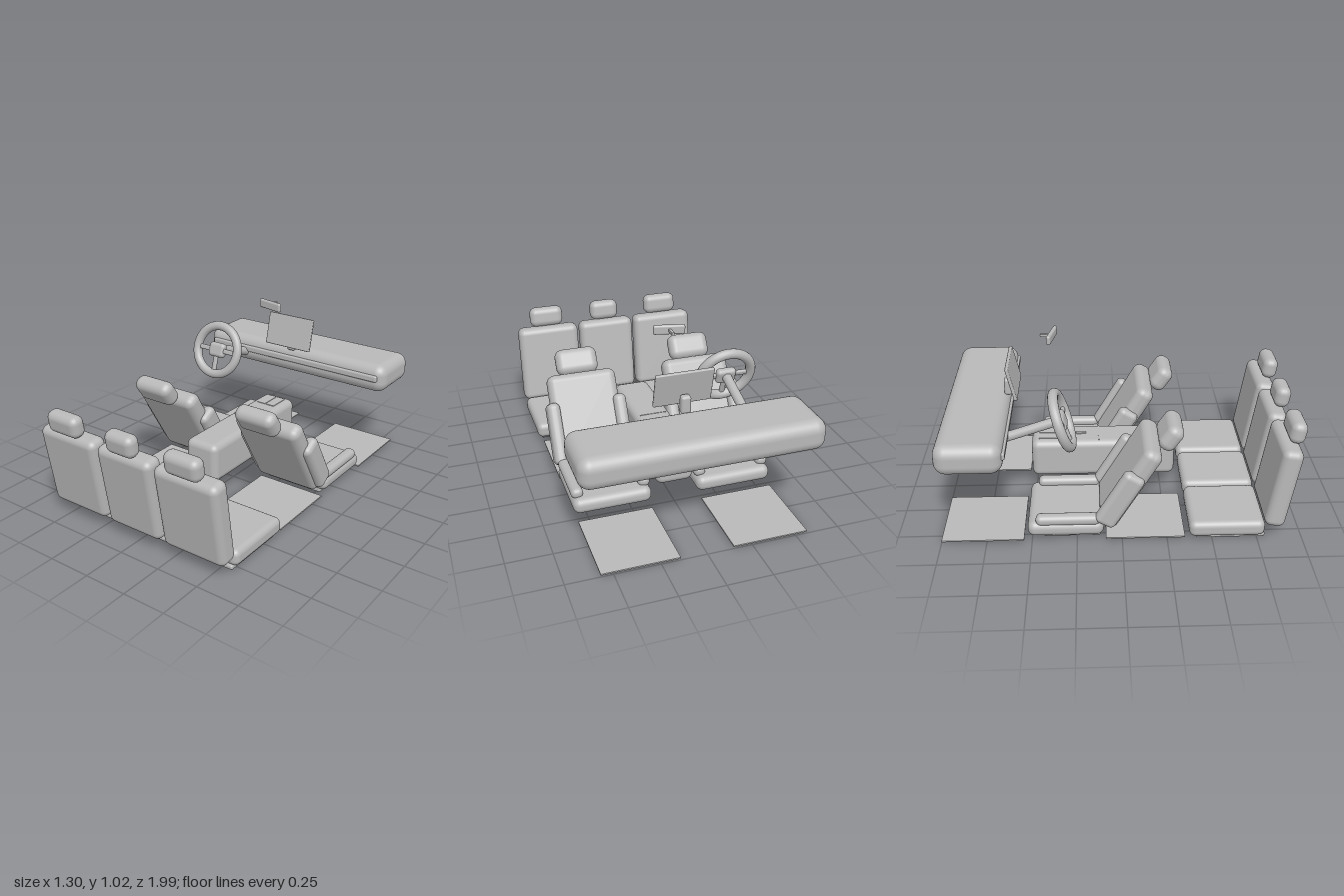
import * as THREE from 'three';
import { RoundedBoxGeometry } from 'three/addons/geometries/RoundedBoxGeometry.js';

export function createModel() {
  const grey = new THREE.MeshStandardMaterial({ color: 0xb8b8b8 });
  grey.name = 'light grey';
  const model = new THREE.Group();
  model.name = 'carInterior';

  const add = (parent, name, geometry, x, y, z, rx = 0) => {
    const mesh = new THREE.Mesh(geometry, grey);
    mesh.name = name;
    mesh.position.set(x, y, z);
    mesh.rotation.x = rx;
    parent.add(mesh);
    return mesh;
  };
  const pad = (w, h, d, r) => new RoundedBoxGeometry(w, h, d, 4, r);
  const box = (w, h, d) => new THREE.BoxGeometry(w, h, d);
  const group = (name, x, y, z, rx = 0) => {
    const g = new THREE.Group();
    g.name = name;
    g.position.set(x, y, z);
    g.rotation.x = rx;
    model.add(g);
    return g;
  };

  // Dashboard with its trim strip
  add(model, 'dashboard', pad(1.3, 0.175, 0.36, 0.065), 0, 0.567, -0.805);
  add(model, 'dashboardTrim', pad(1.215, 0.042, 0.03, 0.012), 0, 0.577, -0.627);

  // Centre screen on a short stand
  add(model, 'screen', pad(0.318, 0.2, 0.02, 0.006), 0, 0.765, -0.603, -0.22);
  add(model, 'screenStand', pad(0.055, 0.1, 0.045, 0.015), 0, 0.685, -0.635);

  // Rear-view mirror
  const mirror = group('mirror', 0, 0.994, -0.375);
  add(mirror, 'mirrorHousing', pad(0.17, 0.052, 0.025, 0.011), 0, 0, 0).rotation.y = -0.22;
  add(mirror, 'mirrorStem', box(0.015, 0.015, 0.06), 0, 0, -0.035);

  // Centre console, armrest seam and shallow tray details
  add(model, 'console', pad(0.215, 0.235, 0.84, 0.04), 0, 0.243, -0.095);
  add(model, 'armrestSeam', box(0.16, 0.006, 0.006), 0, 0.36, -0.12);
  for (const x of [-0.032, 0.032]) {
    add(model, 'consoleTray', box(0.055, 0.008, 0.13), x, 0.36, -0.405);
  }
  add(model, 'gearSelector', pad(0.02, 0.012, 0.06, 0.005), 0, 0.361, -0.225);

  // Front seats and floor mats, one per side
  for (const side of [-1, 1]) {
    const cx = side * 0.356;
    const seat = group('frontSeat', cx, 0, 0);
    add(seat, 'seatBase', pad(0.36, 0.03, 0.315, 0.01), 0, 0.025, -0.278);
    add(seat, 'seatCushion', pad(0.445, 0.09, 0.42, 0.04), 0, 0.078, -0.312);
    for (const s of [-1, 1]) {
      add(seat, 'cushionBolster', pad(0.068, 0.06, 0.355, 0.028), s * 0.19, 0.136, -0.298);
    }
    const back = new THREE.Group();
    back.name = 'frontBackrest';
    back.position.set(0, 0.31, 0.045);
    back.rotation.x = 0.53;
    seat.add(back);
    add(back, 'backrestPad', pad(0.41, 0.54, 0.11, 0.045), 0, 0, 0);
    for (const s of [-1, 1]) {
      add(back, 'backrestBolster', pad(0.075, 0.36, 0.125, 0.033), s * 0.198, -0.07, -0.028);
    }
    add(seat, 'frontHeadrest', pad(0.25, 0.155, 0.1, 0.045), 0, 0.577, 0.268, 0.6);

    add(model, 'frontMat', box(0.42, 0.008, 0.455), cx, 0.012, -0.772);
    add(model, 'rearMat', box(0.42, 0.008, 0.44), cx, 0.012, 0.13);
  }

  // Rear bench: base and three seats
  add(model, 'benchBase', pad(1.13, 0.028, 0.385, 0.011), 0, 0.014, 0.603);
  for (const [x, w, headW] of [[-0.395, 0.393, 0.215], [0, 0.36, 0.185], [0.395, 0.393, 0.215]]) {
    add(model, 'rearCushion', pad(w, 0.095, 0.42, 0.035), x, 0.067, 0.582);
    add(model, 'rearBackrest', pad(w, 0.485, 0.115, 0.04), x, 0.316, 0.876, 0.15);
    add(model, 'rearHeadrest', pad(headW, 0.125, 0.09, 0.04), x, 0.613, 0.945, 0.15);
  }

  // Steering wheel: rim, hub, three spokes
  const wheel = group('steeringWheel', -0.356, 0.652, -0.318, -0.31);
  add(wheel, 'wheelRim', new THREE.TorusGeometry(0.152, 0.028, 16, 48), 0, 0, 0);
  add(wheel, 'wheelHub', pad(0.115, 0.09, 0.05, 0.022), 0, 0, -0.005);
  for (const s of [-1, 1]) {
    add(wheel, 'wheelSpoke', pad(0.12, 0.03, 0.022, 0.009), s * 0.095, 0, 0);
  }
  add(wheel, 'wheelLowerSpoke', pad(0.03, 0.12, 0.022, 0.009), 0, -0.09, 0);

  // Steering column running from the hub into the dashboard
  const start = new THREE.Vector3(-0.356, 0.652, -0.33);
  const end = new THREE.Vector3(-0.356, 0.545, -0.65);
  const column = new THREE.TubeGeometry(new THREE.LineCurve3(start, end), 1, 0.027, 20);
  add(model, 'steeringColumn', column, 0, 0, 0);

  return model;
}
